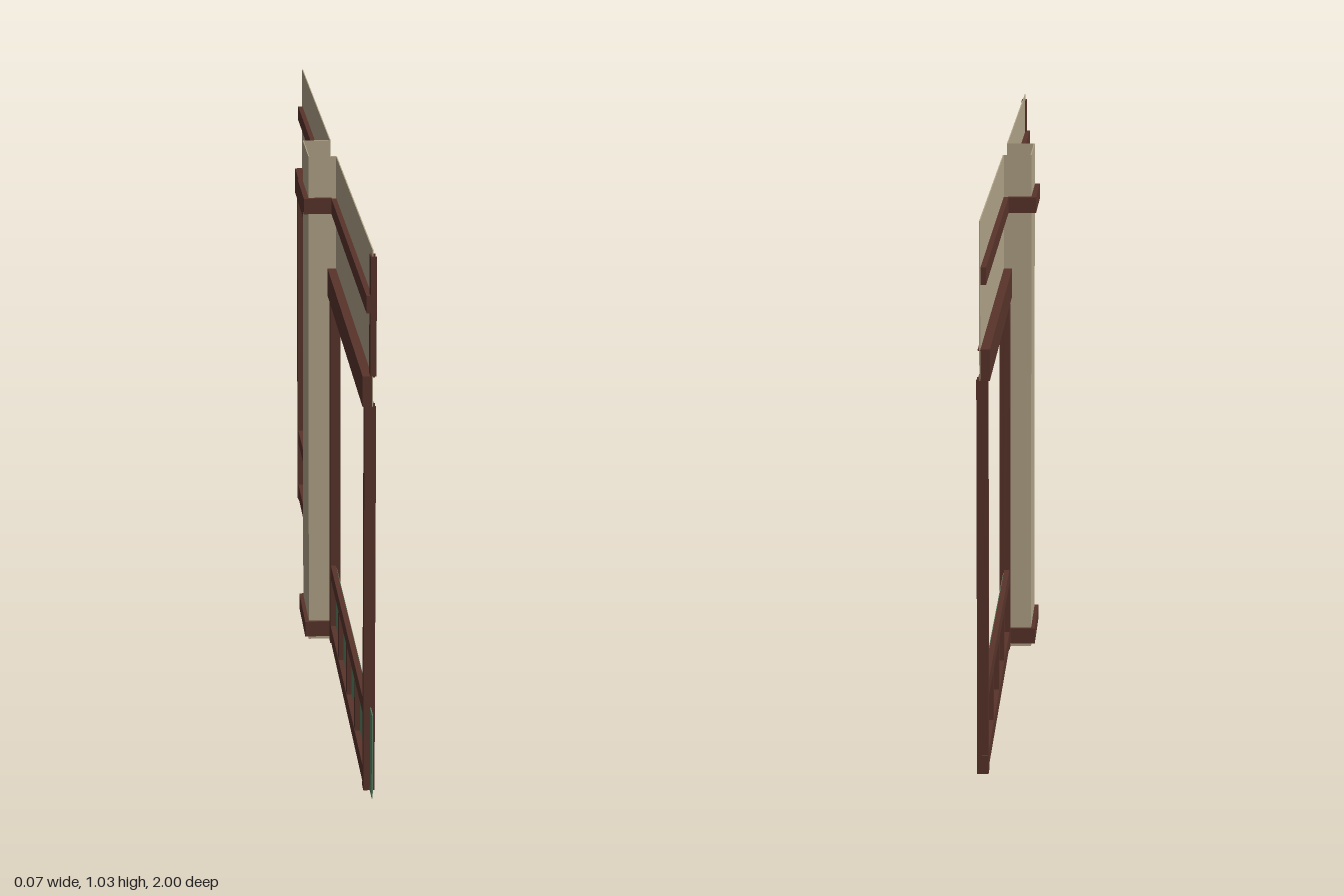
import * as THREE from 'three';

const plaster = new THREE.MeshStandardMaterial({ color: 0xb3a589, side: THREE.DoubleSide });
plaster.name = 'beige plaster';
const wood = new THREE.MeshStandardMaterial({ color: 0x59342b });
wood.name = 'dark brown trim';
const paint = new THREE.MeshStandardMaterial({ color: 0x5d8062, side: THREE.DoubleSide });
paint.name = 'green panel';

const PANEL_X = 0.028; // plane of the wall panels
const PIL = [-0.11, 0.07]; // z range of the pilaster

export function createModel() {
  const model = new THREE.Group();
  model.name = 'shopfront';

  // box given by its ranges along each axis
  function block(name, mat, [x0, x1], [y0, y1], [z0, z1]) {
    const m = new THREE.Mesh(new THREE.BoxGeometry(x1 - x0, y1 - y0, z1 - z0), mat);
    m.position.set((x0 + x1) / 2, (y0 + y1) / 2, (z0 + z1) / 2);
    m.name = name;
    model.add(m);
  }

  // upright trim with thin lips running past the panel plane
  function post(name, x0, y, [z0, z1]) {
    block(name, wood, [x0, PANEL_X], y, [z0, z1]);
    for (const z of [z0, z1 - 0.003]) block(name + 'Lip', wood, [PANEL_X, 0.036], y, [z, z + 0.003]);
  }

  // level trim with thin lips running past the panel plane
  function rail(name, x0, x1, [y0, y1], z) {
    block(name, wood, [x0, PANEL_X], [y0, y1], z);
    if (x1 > PANEL_X)
      for (const y of [y0, y1 - 0.002]) block(name + 'Lip', wood, [PANEL_X, x1], [y, y + 0.002], z);
  }

  // three-sided sleeve open towards +x
  function sleeve(name, mat, [x0, x1], y, [z0, z1], t) {
    block(name + 'Face', mat, [x0, x0 + t], y, [z0, z1]);
    block(name + 'Side', mat, [x0 + t, x1], y, [z0, z0 + t]);
    block(name + 'Side', mat, [x0 + t, x1], y, [z1 - t, z1]);
  }

  // central pilaster with its base and cornice bands
  sleeve('pilaster', plaster, [-0.028, 0.029], [0, 1.03], PIL, 0.002);
  sleeve('pilasterBase', wood, [-0.036, 0.016], [0.008, 0.04], [PIL[0] - 0.008, PIL[1] + 0.008], 0.008);
  sleeve('pilasterCornice', wood, [-0.038, 0.019], [0.913, 0.945], [PIL[0] - 0.01, PIL[1] + 0.01], 0.01);

  // the two bays: wall panel, dado panel, trims and posts
  const bays = [
    { wall: [-1, -0.11], dado: [-0.99, -0.11], posts: [[-0.992, -0.967], [-0.136, -0.111]], frieze: [-1, -0.107] },
    { wall: [0.07, 0.96], dado: [0.07, 1], posts: [[0.071, 0.1], [0.932, 0.957]], frieze: [0.066, 0.96] },
  ];
  for (const { wall, dado, posts, frieze } of bays) {
    block('fasciaPanel', plaster, [PANEL_X, PANEL_X + 0.002], [0.74, 1.03], wall);
    block('dadoPanel', paint, [PANEL_X - 0.001, PANEL_X + 0.001], [0, 0.163], dado);
    rail('corniceStrip', 0.018, PANEL_X, [0.913, 0.945], [wall[0] + 0.01, wall[1] - 0.003]);
    rail('friezeStrip', 0.011, 0.033, [0.74, 0.797], frieze);
    for (const p of posts) post('windowPost', 0.015, [0, 0.74], p);
    // mullions dividing the dado into four
    const a = posts[0][1], b = posts[1][0];
    for (let i = 1; i < 4; i++) {
      const z = a + ((b - a) * i) / 4;
      block('dadoMullion', wood, [0.017, 0.0265], [0.035, 0.14], [z - 0.011, z + 0.011]);
    }
  }

  // rails running the whole length, behind the pilaster
  block('bottomRail', wood, [0.016, 0.0265], [0.005, 0.037], [-0.998, 0.957]);
  block('sillRail', wood, [0.016, 0.0265], [0.14, 0.17], [-0.99, 0.957]);

  // short corner post above the frieze at the +z end
  post('cornerPost', 0.025, [0.797, 1.018], [0.932, 0.962]);

  return model;
}
